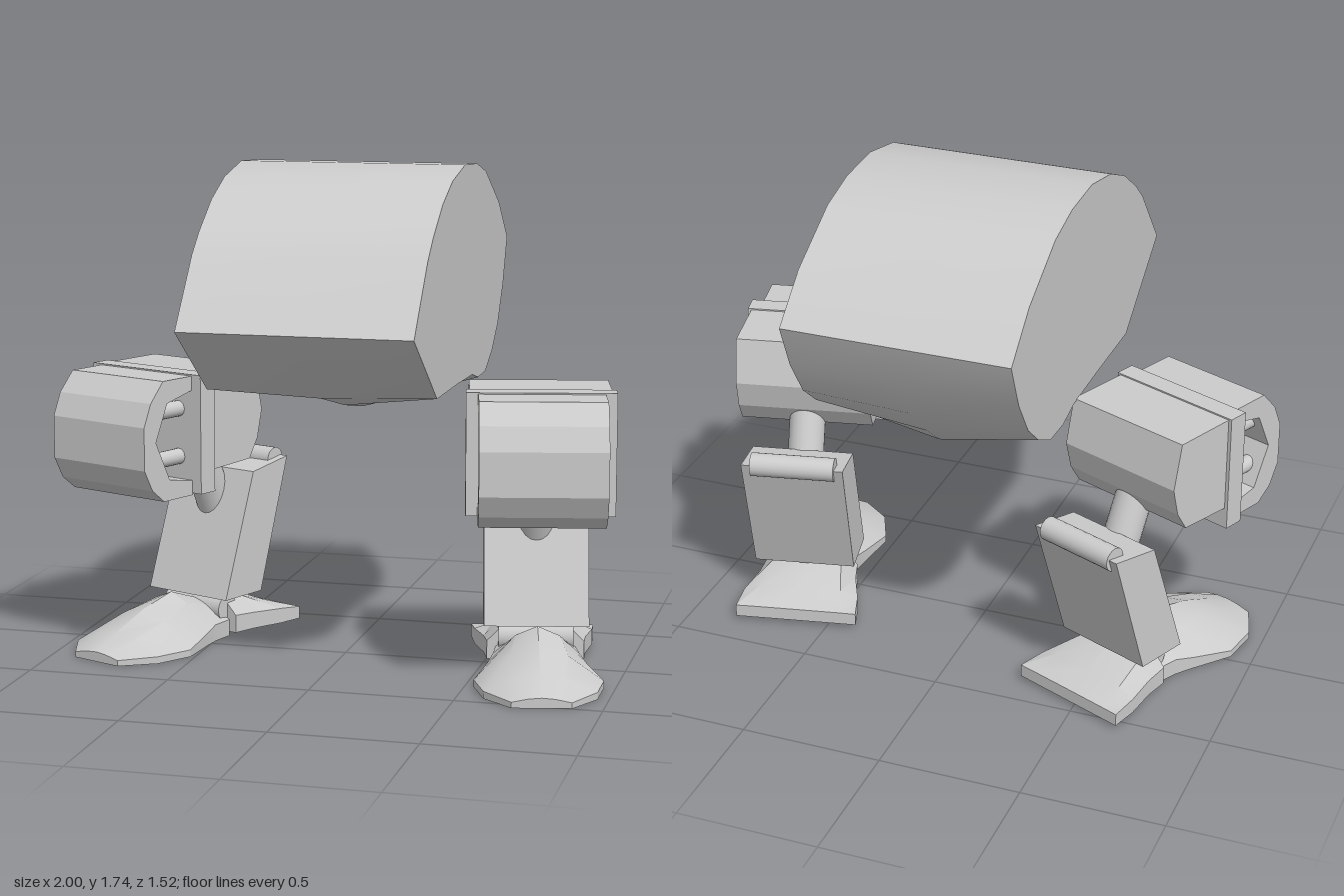
import * as THREE from 'three';
import { toCreasedNormals } from 'three/addons/utils/BufferGeometryUtils.js';

const grey = new THREE.MeshStandardMaterial({ color: 0xcccccc, side: THREE.DoubleSide });

function add(parent, name, geometry) {
  const mesh = new THREE.Mesh(geometry, grey);
  mesh.name = name;
  parent.add(mesh);
  return mesh;
}

// Side profile of [z, y] points, extruded across x and centred
function slab(points, width, steps = 1) {
  const shape = new THREE.Shape(points.map(([z, y]) => new THREE.Vector2(z, y)));
  const g = new THREE.ExtrudeGeometry(shape, { depth: width, steps, bevelEnabled: false });
  return g.translate(0, 0, -width / 2).rotateY(-Math.PI / 2);
}

// Cylinder running between two points
function rod(parent, name, a, b, radius) {
  const from = new THREE.Vector3(...a), to = new THREE.Vector3(...b);
  const dir = to.clone().sub(from);
  const mesh = add(parent, name, new THREE.CylinderGeometry(radius, radius, dir.length(), 20));
  mesh.position.copy(from).add(to).multiplyScalar(0.5);
  mesh.quaternion.setFromUnitVectors(new THREE.Vector3(0, 1, 0), dir.normalize());
}

// Loft of ridged cross-sections: stations are [z, halfWidth, edgeHeight, ridgeHeight]
function ridgedLoft(stations, base, shoulder) {
  const rings = stations.map(([z, w, edge, top]) => {
    const mid = edge + (top - edge) * 0.75;
    return [[-w, base], [w, base], [w, edge], [w * shoulder, mid], [0, top], [-w * shoulder, mid], [-w, edge]]
      .map(([x, y]) => [x, y, z]);
  });
  const pos = [], n = 7;
  const tri = (a, b, c) => pos.push(...a, ...b, ...c);
  for (let k = 0; k < rings.length - 1; k++) {
    for (let i = 0; i < n; i++) {
      const j = (i + 1) % n;
      tri(rings[k][i], rings[k][j], rings[k + 1][j]);
      tri(rings[k][i], rings[k + 1][j], rings[k + 1][i]);
    }
  }
  const back = rings[0], front = rings[rings.length - 1];
  for (let i = 1; i < n - 1; i++) {
    tri(back[0], back[i + 1], back[i]);
    tri(front[0], front[i], front[i + 1]);
  }
  const g = new THREE.BufferGeometry();
  g.setAttribute('position', new THREE.Float32BufferAttribute(pos, 3));
  return toCreasedNormals(g, 0.4);
}

// Pod-shaped body with a shallow keel along the middle of its underside
function makeBody() {
  const top = [[-0.76, 1.42], [-0.6, 1.56], [-0.36, 1.69], [-0.2, 1.73], [0, 1.74], [0.2, 1.7],
    [0.35, 1.635], [0.49, 1.54], [0.57, 1.47], [0.76, 1.24]];
  // underside points: z, edge height, keel height
  const under = [[0.42, 1.0, 0.985], [0.1, 1.0, 0.91], [-0.15, 0.995, 0.865], [-0.25, 0.97, 0.855],
    [-0.38, 0.975, 0.9], [-0.5, 1.035, 0.995], [-0.6, 1.12, 1.105], [-0.69, 1.255, 1.25]];
  const g = slab([...under.map(([z, y]) => [z, y]).reverse(), ...[...top].reverse()].reverse(), 0.795, 2);
  const p = g.attributes.position;
  for (let i = 0; i < p.count; i++) {
    if (Math.abs(p.getX(i)) > 0.01) continue;
    const hit = under.find(([z, y]) => Math.abs(z - p.getZ(i)) < 1e-4 && Math.abs(y - p.getY(i)) < 1e-4);
    if (hit) p.setY(i, hit[2]);
  }
  return toCreasedNormals(g, 0.45).translate(0.023, 0, 0);
}

function makeLeg(name) {
  const leg = new THREE.Group();
  leg.name = name;

  // Thigh: rear block, collar and open front shell joined by rods
  add(leg, 'thighBlock', slab([[0.18, 1.0], [-0.065, 1.0], [-0.1, 0.84], [-0.075, 0.74],
    [-0.03, 0.67], [0.18, 0.66]], 0.48));
  add(leg, 'thighCollar', new THREE.BoxGeometry(0.505, 0.42, 0.075)).position.set(0, 0.795, 0.213);
  add(leg, 'thighShell', slab([[0.25, 1.0], [0.4, 1.0], [0.465, 0.93], [0.5, 0.85], [0.5, 0.7],
    [0.46, 0.625], [0.4, 0.578], [0.25, 0.578], [0.25, 0.63], [0.37, 0.65], [0.44, 0.79],
    [0.38, 0.92], [0.25, 0.95]], 0.425));
  for (const x of [-0.15, 0.15]) {
    for (const y of [0.71, 0.88]) rod(leg, 'thighRod', [x, y, 0.2], [x, y, 0.43], 0.028);
  }

  // Knee strut running into the slanted shin
  rod(leg, 'kneeStrut', [0, 0.78, 0.02], [0, 0.46, -0.12], 0.065);
  add(leg, 'shin', slab([[0.04, 0.15], [-0.12, 0.6], [-0.315, 0.63], [-0.16, 0.15]], 0.365));
  rod(leg, 'shinBar', [-0.15, 0.62, -0.285], [0.15, 0.62, -0.285], 0.042);

  // Foot: ankle, heel slab and faceted toe
  rod(leg, 'ankle', [-0.13, 0.1, -0.03], [0.13, 0.1, -0.03], 0.05);
  add(leg, 'heel', ridgedLoft([[-0.34, 0.22, 0.06, 0.061], [-0.24, 0.21, 0.07, 0.1],
    [-0.12, 0.18, 0.075, 0.148], [-0.03, 0.17, 0.08, 0.148]], 0.015, 0.7));
  add(leg, 'toe', ridgedLoft([[-0.03, 0.14, 0.06, 0.12], [0.06, 0.15, 0.06, 0.15], [0.13, 0.17, 0.045, 0.175],
    [0.28, 0.22, 0.025, 0.14], [0.42, 0.19, 0.025, 0.085], [0.53, 0.1, 0.02, 0.035]], 0, 0.45));
  return leg;
}

export function createModel() {
  const model = new THREE.Group();
  model.name = 'walker';
  add(model, 'body', makeBody());

  // Legs stand mid-stride, each turned outward
  const stances = [['leftLeg', 0.685, 0, 0.22], ['rightLeg', -0.61, -0.15, -0.4]];
  for (const [name, x, z, turn] of stances) {
    const leg = makeLeg(name);
    leg.position.set(x, 0, z);
    leg.rotation.y = turn;
    model.add(leg);
  }
  return model;
}
